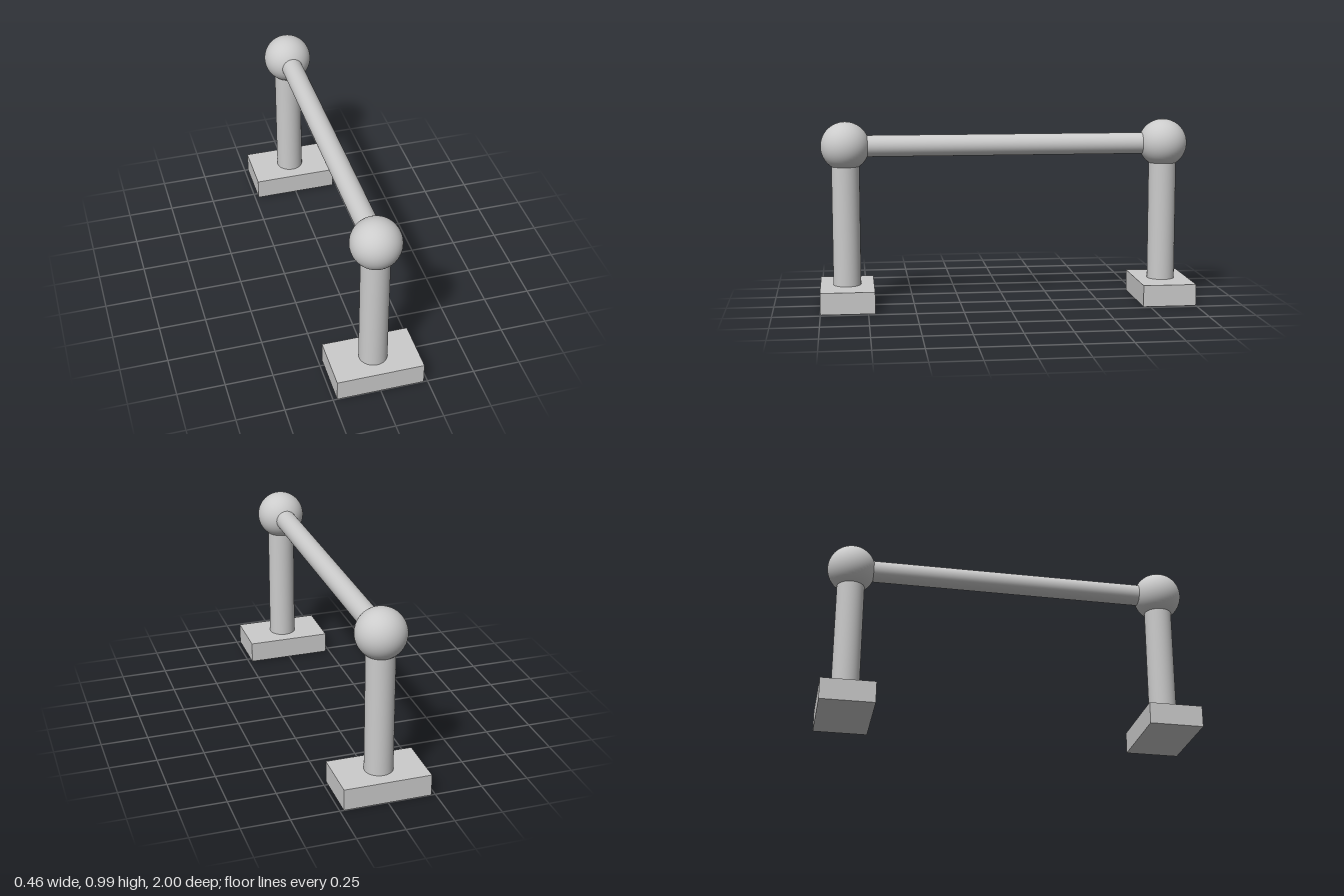
import * as THREE from 'three';

const BASE = { width: 0.458, height: 0.115, depth: 0.286 };
const JOINT_Y = 0.858; // height of the ball centres and the rail axis
const POST_Z = 0.857; // distance of each post from the centre

export function createModel() {
  const model = new THREE.Group();
  model.name = 'handrail';
  const material = new THREE.MeshStandardMaterial({ color: 0xcccccc });

  function add(parent, name, geometry, y) {
    const mesh = new THREE.Mesh(geometry, material);
    mesh.name = name;
    mesh.position.y = y;
    parent.add(mesh);
    return mesh;
  }

  // Two matching supports: base plate, round post and ball joint
  const postHeight = JOINT_Y - BASE.height;
  for (const [name, side] of [['frontSupport', 1], ['backSupport', -1]]) {
    const support = new THREE.Group();
    support.name = name;
    support.position.z = side * POST_Z;
    add(support, 'basePlate', new THREE.BoxGeometry(BASE.width, BASE.height, BASE.depth), BASE.height / 2);
    add(support, 'post', new THREE.CylinderGeometry(0.074, 0.074, postHeight, 48), BASE.height + postHeight / 2);
    add(support, 'ballJoint', new THREE.SphereGeometry(0.13, 48, 32), JOINT_Y);
    model.add(support);
  }

  // Rail running between the ball centres
  const rail = add(model, 'rail', new THREE.CylinderGeometry(0.057, 0.057, POST_Z * 2, 48), JOINT_Y);
  rail.rotation.x = Math.PI / 2;

  return model;
}
